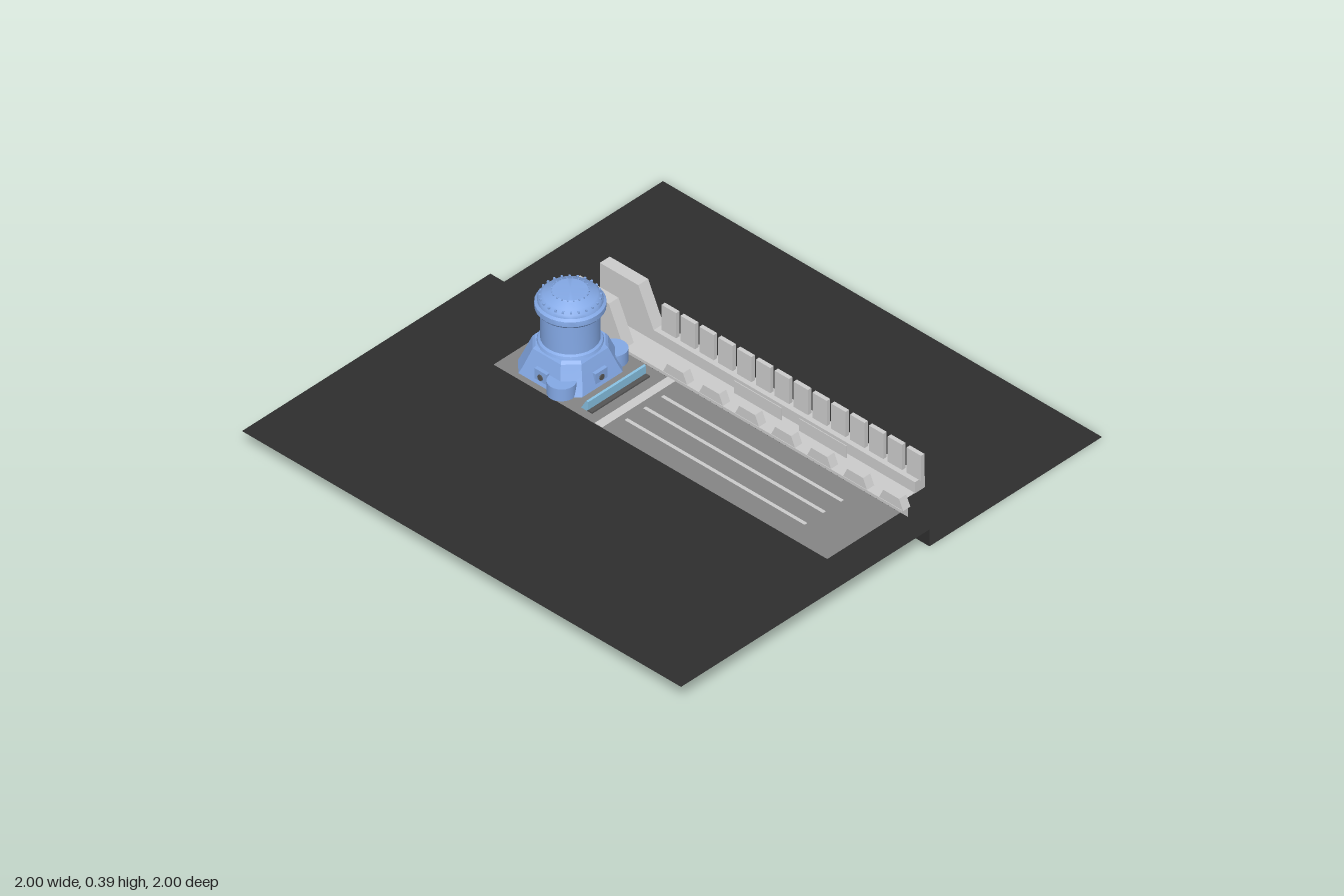
import * as THREE from 'three';
import { toCreasedNormals } from 'three/addons/utils/BufferGeometryUtils.js';

const mat = (color, side = THREE.FrontSide) => new THREE.MeshStandardMaterial({ color, side });

export function createModel() {
  const model = new THREE.Group();
  const grey = mat(0xcccccc), blue = mat(0x84a9e6), dark = mat(0x555555), panelBlue = mat(0x86bfe0);
  const greySheet = mat(0xcccccc, THREE.DoubleSide), ground = mat(0x2e2e2e, THREE.DoubleSide);
  const padGrey = mat(0x858585, THREE.DoubleSide);

  const add = (name, geo, material, parent = model) => {
    const mesh = new THREE.Mesh(geo, material);
    mesh.name = name;
    parent.add(mesh);
    return mesh;
  };
  // Box given by its limits on each axis
  const box = (name, x0, x1, y0, y1, z0, z1, material, parent) => {
    const geo = new THREE.BoxGeometry(x1 - x0, y1 - y0, z1 - z0);
    geo.translate((x0 + x1) / 2, (y0 + y1) / 2, (z0 + z1) / 2);
    return add(name, geo, material, parent);
  };
  // Horizontal sheet given by its limits
  const sheet = (name, x0, x1, z0, z1, y, material) => {
    const geo = new THREE.PlaneGeometry(x1 - x0, z1 - z0).rotateX(-Math.PI / 2);
    return add(name, geo.translate((x0 + x1) / 2, y, (z0 + z1) / 2), material);
  };
  // Outline in x and y, extruded from z0 to z1
  const prism = (name, points, z0, z1, material) => {
    const shape = new THREE.Shape(points.map(([x, y]) => new THREE.Vector2(x, y)));
    const geo = new THREE.ExtrudeGeometry(shape, { depth: z1 - z0, bevelEnabled: false });
    return add(name, geo.translate(0, 0, z0), material);
  };

  // Stepped ground
  sheet('upperGround', -1, 1, -0.18, 1, 0.07, ground);
  sheet('lowerGround', -1, 1, -1, -0.18, 0, ground);
  add('groundStep', new THREE.PlaneGeometry(2, 0.07).translate(0, 0.035, -0.18), ground);

  // Deck with its stripes and cross bar
  sheet('deck', -0.65, 0.87, -0.178, 0.17, 0.072, padGrey);
  sheet('crossBar', -0.19, -0.155, -0.178, 0.17, 0.074, greySheet);
  for (const z of [-0.09, -0.005, 0.083]) sheet('stripe', -0.13, 0.69, z - 0.007, z + 0.007, 0.074, greySheet);

  // Trench between two low walls, each tall at one end
  sheet('trenchFloor', -0.645, 0.79, -0.335, -0.235, 0.027, greySheet);
  const wall = (name, end, z0, z1) => prism(name, [
    [-0.645, 0.025], [end, 0.025], [end, 0.071], [-0.4, 0.071], [-0.47, 0.22], [-0.645, 0.22],
  ], z0, z1, grey);
  wall('frontWall', 0.79, -0.236, -0.19);
  wall('backWall', 0.79, -0.377, -0.33);
  box('frontWallEnd', 0.79, 0.865, 0.025, 0.071, -0.22, -0.19, grey);

  // Upright slabs on the back wall
  for (let i = 0; i < 14; i++) {
    const x = -0.382 + i * 0.0858;
    box('slab', x, x + 0.066, 0.07, 0.175, -0.365, -0.349, grey);
  }
  // Tapered blocks on the front wall
  for (let i = 0; i < 7; i++) {
    const x = -0.17 + i * 0.164;
    prism('taperedBlock', [
      [x - 0.055, 0.07], [x + 0.055, 0.07], [x + 0.036, 0.11], [x - 0.036, 0.11],
    ], -0.226, -0.192, grey);
  }
  // Thin panels inside the trench
  for (const x of [0.15, 0.447]) box('trenchPanel', x - 0.108, x + 0.108, 0.09, 0.14, -0.253, -0.25, grey);

  // Tilted barrier with a toothed foot
  prism('barrierPanel', [[-0.282, 0.072], [-0.25, 0.072], [-0.25, 0.11], [-0.258, 0.112]], -0.137, 0.138, panelBlue);
  prism('barrierFoot', [[-0.27, 0.058], [-0.23, 0.058], [-0.232, 0.078], [-0.25, 0.078]], -0.137, 0.138, dark);
  for (let i = 0; i < 6; i++) {
    const z = -0.115 + i * 0.046;
    box('barrierTooth', -0.262, -0.236, 0.05, 0.06, z - 0.012, z + 0.012, dark);
  }

  // Tower
  const tower = new THREE.Group();
  tower.name = 'tower';
  tower.position.x = -0.463;
  model.add(tower);

  // Base: chamfered squares joined in levels of [y, half width, chamfer]
  const rings = [[0.07, 0.147, 0.05], [0.1, 0.137, 0.052], [0.172, 0.112, 0.048], [0.182, 0.104, 0.045]];
  const pos = [], index = [];
  for (const [y, h, c] of rings) {
    const k = h - c;
    for (const [x, z] of [[h, k], [k, h], [-k, h], [-h, k], [-h, -k], [-k, -h], [k, -h], [h, -k]]) pos.push(x, y, z);
  }
  for (let r = 0; r < rings.length - 1; r++) {
    for (let i = 0; i < 8; i++) {
      const a = r * 8 + i, b = r * 8 + (i + 1) % 8;
      index.push(a, a + 8, b, b, a + 8, b + 8);
    }
  }
  const top = (rings.length - 1) * 8;
  for (let i = 1; i < 7; i++) index.push(top, top + i + 1, top + i);
  const baseGeo = new THREE.BufferGeometry();
  baseGeo.setAttribute('position', new THREE.Float32BufferAttribute(pos, 3));
  baseGeo.setIndex(index);
  add('towerBase', toCreasedNormals(baseGeo, 0.1), blue, tower);

  // Drum, collar and domed cap
  const profile = [
    [0.112, 0.18], [0.108, 0.19], [0.1, 0.195], [0.1, 0.31], [0.113, 0.314], [0.119, 0.322], [0.119, 0.342],
    [0.11, 0.349], [0.106, 0.36], [0.092, 0.374], [0.065, 0.384], [0.06, 0.388], [0, 0.391],
  ].map(([r, y]) => new THREE.Vector2(r, y));
  add('drumAndCap', toCreasedNormals(new THREE.LatheGeometry(profile, 32), 0.5), blue, tower);

  // Studs around the cap
  for (const [count, r, y, size] of [[24, 0.101, 0.367, 0.007], [20, 0.062, 0.387, 0.005]]) {
    for (let i = 0; i < count; i++) {
      const a = i / count * Math.PI * 2;
      const stud = add('capStud', new THREE.BoxGeometry(size, size, size), blue, tower);
      stud.position.set(Math.cos(a) * r, y, Math.sin(a) * r);
      stud.rotation.y = -a;
    }
  }
  // Hatch with a round port on each side of the base
  for (let i = 0; i < 4; i++) {
    const hatch = new THREE.Group();
    hatch.name = 'hatch';
    hatch.rotation.y = i * Math.PI / 2;
    tower.add(hatch);
    box('hatchFrame', -0.028, 0.028, 0.07, 0.127, 0.115, 0.142, blue, hatch);
    add('port', new THREE.CylinderGeometry(0.011, 0.011, 0.006, 16).rotateX(Math.PI / 2).translate(0, 0.102, 0.143), dark, hatch);
  }
  // Round pods at the two sides
  for (const s of [-1, 1]) {
    const pod = add('sidePod', new THREE.CylinderGeometry(0.05, 0.05, 0.05, 24), blue, tower);
    pod.position.set(0.078, 0.096, s * 0.123);
  }
  return model;
}
